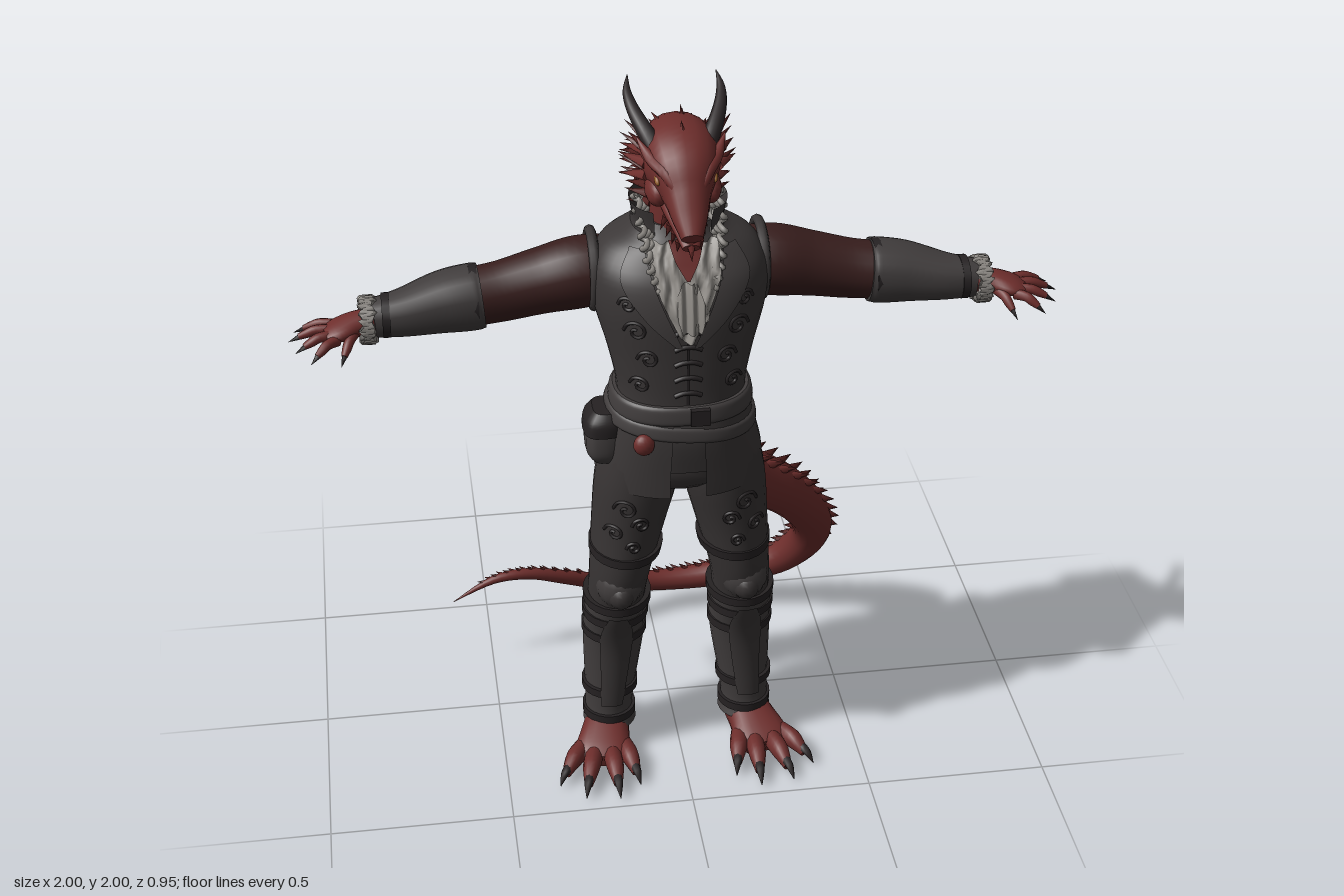
import * as THREE from 'three';
import { mergeGeometries } from 'three/addons/utils/BufferGeometryUtils.js';

const V = (x, y, z) => new THREE.Vector3(x, y, z);
const X = V(1, 0, 0), Y = V(0, 1, 0), Z = V(0, 0, 1);
const paint = (name, color, side = THREE.FrontSide) => Object.assign(new THREE.MeshStandardMaterial({ color, side }), { name });

// smooth interpolation through rows of numbers
function spline(rows) {
  return t => {
    const f = t * (rows.length - 1), i = Math.min(Math.floor(f), rows.length - 2), u = f - i;
    const r = k => rows[Math.min(Math.max(k, 0), rows.length - 1)];
    return rows[i].map((b, c) => {
      const a = r(i - 1)[c], d = r(i + 1)[c], e = r(i + 2)[c], m = (d - a) / 2, n = (e - b) / 2;
      return b + m * u + (3 * (d - b) - 2 * m - n) * u * u + (2 * (b - d) + m + n) * u * u * u;
    });
  };
}

// skin over sections [x, y, z, radius along ref, radius across]
function loft(rows, { ref = X, dir = null, n = 2, seg = 20, steps = 5, arc = null, cap = true } = {}) {
  const at = spline(rows), count = (rows.length - 1) * steps, pos = [], idx = [], T = V(0, 0, 0);
  const cols = arc ? seg + 1 : seg, [a0, a1] = arc || [0, Math.PI * 2];
  const pow = v => Math.sign(v) * Math.abs(v) ** (2 / n);
  for (let i = 0; i <= count; i++) {
    const t = i / count, p = at(t), c = V(p[0], p[1], p[2]);
    if (dir) T.copy(dir);
    else {
      const q = at(Math.min(1, t + .01)), o = at(Math.max(0, t - .01));
      T.set(q[0] - o[0], q[1] - o[1], q[2] - o[2]).normalize();
    }
    const U = ref.clone().addScaledVector(T, -ref.dot(T)).normalize(), W = T.clone().cross(U);
    for (let j = 0; j < cols; j++) {
      const a = a0 + (a1 - a0) * j / seg;
      pos.push(...c.clone().addScaledVector(U, pow(Math.cos(a)) * Math.max(p[3], .001))
        .addScaledVector(W, pow(Math.sin(a)) * Math.max(p[4], .001)).toArray());
    }
  }
  for (let i = 0; i < count; i++) for (let j = 0; j < seg; j++) {
    const a = i * cols + j, b = i * cols + (j + 1) % cols;
    idx.push(a, b, b + cols, a, b + cols, a + cols);
  }
  if (cap && !arc) for (const e of [0, count]) {
    const s = pos.length / 3, p = at(e / count);
    pos.push(...pos.slice(e * cols * 3, (e + 1) * cols * 3), p[0], p[1], p[2]);
    for (let j = 0; j < seg; j++) e ? idx.push(s + seg, s + j, s + (j + 1) % seg) : idx.push(s + seg, s + (j + 1) % seg, s + j);
  }
  return meshGeometry(pos, idx);
}
function meshGeometry(pos, idx) {
  const g = new THREE.BufferGeometry();
  g.setAttribute('position', new THREE.Float32BufferAttribute(pos, 3));
  g.setIndex(idx);
  g.computeVertexNormals();
  return g;
}
// front depth of an upright loft
const frontOf = (rows, n) => {
  const at = spline(rows);
  return (x, y) => {
    let lo = 0, hi = 1;
    for (let i = 0; i < 20; i++) { const m = (lo + hi) / 2; at(m)[1] < y ? lo = m : hi = m; }
    const p = at(lo), d = Math.min(.97, Math.abs(x - p[0]) / p[3]);
    return p[2] + p[4] * (1 - d ** n) ** (1 / n);
  };
};
// thin sheet lying on a surface, rows [y, x0, x1] from bottom to top
function plate(rows, surf, lift) {
  const at = spline(rows), nr = rows.length * 4, nc = 24, pos = [], idx = [];
  for (let i = 0; i <= nr; i++) {
    const [y, a, b] = at(i / nr), l = Math.min(a, b), r = Math.max(a, b);
    for (let j = 0; j <= nc; j++) { const x = l + (r - l) * j / nc; pos.push(x, y, surf(x, y) + lift(x, y)); }
  }
  for (let i = 0; i < nr; i++) for (let j = 0; j < nc; j++) {
    const a = i * (nc + 1) + j, b = a + nc + 1;
    idx.push(a, a + 1, b + 1, a, b + 1, b);
  }
  return meshGeometry(pos, idx);
}
function spike(a, b, r, flat = 1) {
  const d = b.clone().sub(a), g = new THREE.ConeGeometry(r, d.length(), 6);
  g.scale(1, 1, flat);
  g.applyQuaternion(new THREE.Quaternion().setFromUnitVectors(Y, d.clone().normalize()));
  return g.translate(...a.clone().add(b).multiplyScalar(.5).toArray());
}
const wire = (pts, r, steps = 40) => new THREE.TubeGeometry(new THREE.CatmullRomCurve3(pts), steps, r, 6);
const ball = (x, y, z, a, b, c) => new THREE.SphereGeometry(1, 16, 12).scale(a, b, c).translate(x, y, z);

export function createModel() {
  const group = new THREE.Group(), D = THREE.DoubleSide;
  const skin = paint('red scales', 0x6e2e2c), dark = paint('dark red scales', 0x54211f), vest = paint('charcoal cloth', 0x3b3737, D);
  const trouser = paint('trouser cloth', 0x383434), sleeve = paint('maroon cloth', 0x381e1d), trim = paint('black trim', 0x262223, D);
  const leather = paint('leather', 0x413d3d), lace = paint('lace', 0x8c8883, D), claw = paint('horn', 0x2a2425), amber = paint('amber', 0x94602c);
  const add = (name, geo, mat) => { const m = new THREE.Mesh(geo, mat); m.name = name; group.add(m); return m; };
  let seed = 7;
  const rnd = () => (seed = seed * 16807 % 2147483647) / 2147483647;

  // torso
  const body = [[0, 1.14, .23, .172, .145], [0, 1.22, .23, .17, .14], [0, 1.32, .22, .19, .15], [0, 1.45, .2, .225, .17],
    [0, 1.54, .19, .228, .16], [0, 1.6, .175, .195, .137], [0, 1.64, .17, .125, .115], [0, 1.67, .17, .1, .1]];
  const up = { dir: Y, n: 2.3, seg: 40 }, chest = frontOf(body, 2.3);
  add('vest', loft(body, up), vest);
  add('coatSkirt', loft([[0, .935, .185, .225, .205], [0, 1.0, .195, .22, .195], [0, 1.1, .22, .195, .17], [0, 1.19, .23, .176, .149]],
    { ...up, arc: [-Math.PI / 2 + .17, Math.PI * 1.5 - .17] }), vest);
  add('frontFlap', loft([[.01, 1.0, .19, .205, .18], [0, 1.1, .22, .19, .165], [0, 1.19, .23, .175, .147]],
    { ...up, seg: 10, arc: [-Math.PI / 2 - .3, -Math.PI / 2 + .3] }), leather);
  add('pelvis', ball(0, .99, .22, .19, .1, .14), trouser);
  const belt = loft([[0, 1.155, .229, .187, .158], [0, 1.165, .229, .19, .161], [0, 1.195, .229, .186, .157], [0, 1.205, .229, .178, .15]], up);
  add('belt', belt, leather);
  const sash = add('slantedBelt', belt.clone().translate(0, -1.18, -.229).scale(1.07, .8, 1.07), leather);
  sash.position.set(0, 1.125, .222); sash.rotation.z = -.1;
  add('buckle', new THREE.BoxGeometry(.05, .045, .015).translate(.03, 1.18, .39), trim);
  add('collar', loft([[0, 1.58, .165, .15, .13], [0, 1.65, .17, .118, .115], [0, 1.715, .18, .125, .115]],
    { ...up, arc: [-Math.PI / 2 + .6, Math.PI * 1.5 - .6] }), vest);
  for (let i = 0; i < 5; i++) {
    const y = 1.24 + i * .045;
    add('clasp', wire([-.035, -.015, .015, .035].map((x, k) => V(x, y + (k % 3 ? .004 : -.004), chest(x, y) + .004)), .006, 10), trim);
  }
  add('vestSeam', plate([[1.21, -.004, .004], [1.42, -.004, .004]], chest, () => .003), trim);

  // lace shirt front
  add('jabot', plate([[1.4, -.012, .012], [1.47, -.05, .05], [1.57, -.085, .085], [1.64, -.085, .085]], chest,
    (x, y) => .018 + .012 * Math.sin(x * 170 + Math.sin(y * 60) * 1.2)), lace);
  add('jabotLower', plate([[1.43, -.018, .03], [1.5, -.035, .04], [1.56, -.02, .02]], chest, (x, y) => .03 + .01 * Math.sin(x * 220)), lace);
  add('neck', loft([[0, 1.55, .2, .06, .09], [0, 1.66, .19, .078, .092], [0, 1.74, .19, .08, .09], [0, 1.82, .2, .08, .08]], { dir: Y }), skin);
  add('throat', plate([[1.565, -.004, .004], [1.61, -.03, .03], [1.66, -.045, .045]], chest, (x, y) => .034 + (y - 1.565) * .2), skin);

  // embroidery scroll drawn on a surface
  const curl = (cx, cy, r, s, surf) => add('embroidery', wire(Array.from({ length: 12 }, (_, i) => {
    const a = i * .75, q = r * (1 - i / 13), x = cx + s * q * Math.cos(a), y = cy + q * Math.sin(a);
    return V(x, y, surf(x, y) + .002);
  }), .0045, 30), trim);

  for (const s of [1, -1]) {
    const M = (x, y, z) => V(x * s, y, z), mx = rows => rows.map(r => [r[0] * s, ...r.slice(1)]);
    // vest details
    add('lapel', plate([[1.38, .015, .03], [1.46, .05, .11], [1.55, .085, .165], [1.62, .1, .135]].map(([y, a, b]) => [y, a * s, b * s]), chest, () => .009), leather);
    for (const [x, y, r] of [[.13, 1.42, .03], [.1, 1.34, .028], [.12, 1.26, .025], [.15, 1.49, .022]]) curl(x * s, y, r, s, chest);
    const hole = add('armholeEdge', new THREE.TorusGeometry(.098, .014, 8, 28), vest);
    hole.rotation.set(0, Math.PI / 2, 0); hole.position.set(.218 * s, 1.503, .145);
    for (let k = 0; k < 3; k++) add('collarRuffle', wire(Array.from({ length: 26 }, (_, i) => {
      const t = i / 25, w = Math.sin(i * 2.1 + k) * .01;
      return M(.108 - .04 * t * t - k * .012 + w, 1.725 - .2 * t - k * .008, .18 + .165 * Math.sin(t * 1.45) + .012 * Math.cos(i * 2.1 + k));
    }), .008, 80), lace);

    // arms
    add('sleeve', loft(mx([[.16, 1.5, .14, .09, .085], [.25, 1.495, .145, .095, .095], [.35, 1.475, .142, .088, .086], [.45, 1.457, .15, .078, .08], [.54, 1.45, .16, .078, .076]]), { ref: Z }), sleeve);
    add('bracer', loft(mx([[.505, 1.452, .157, .084, .08], [.53, 1.45, .158, .087, .083], [.6, 1.445, .165, .084, .077], [.7, 1.435, .188, .066, .06], [.785, 1.43, .2, .05, .048]]), { ref: Z, n: 2.3 }), leather);
    for (const [x, y, z, r] of [[.515, 1.451, .157, .088], [.74, 1.433, .194, .062]])
      add('bracerStrap', loft(mx([[x, y, z, r, r - .005], [x + .02, y, z, r, r - .005]]), { ref: Z }), trim);
    add('cuff', wire(Array.from({ length: 49 }, (_, i) => {
      const a = i / 48 * Math.PI * 2, w = i % 2 ? .018 : -.014;
      return M(.795 + w, 1.428 + .052 * Math.sin(a), .203 + .057 * Math.cos(a));
    }), .011, 144), lace);
    add('hand', loft(mx([[.77, 1.428, .2, .034, .032], [.83, 1.423, .213, .042, .031], [.875, 1.417, .23, .05, .024], [.905, 1.41, .237, .04, .015]]), { ref: Z }), skin);
    const fingers = [[.885, 1.415, .195, .972, 1.402, .178], [.895, 1.415, .222, .985, 1.4, .22], [.892, 1.413, .25, .97, 1.396, .272],
      [.88, 1.408, .272, .935, 1.388, .315], [.835, 1.41, .25, .865, 1.378, .315]];
    for (const [ax, ay, az, bx, by, bz] of fingers) {
      const q = (t, h) => [ax + (bx - ax) * t, ay + (by - ay) * t + h, az + (bz - az) * t];
      add('finger', loft(mx([[...q(-.1, 0), .015, .014], [...q(.35, .009), .013, .013], [...q(.6, .005), .012, .012], [...q(.85, 0), .008, .008]]), { ref: Y, seg: 10, steps: 3 }), skin);
      add('fingerClaw', spike(M(...q(.75, .001)), M(...q(1.17, -.01)), .009), claw);
    }

    // legs
    const leg = mx([[.195, .07, .175, .062, .065], [.195, .16, .175, .063, .065], [.18, .36, .17, .078, .08], [.175, .5, .2, .078, .095],
      [.165, .62, .22, .083, .115], [.14, .78, .22, .1, .122], [.118, .92, .225, .112, .13], [.11, 1.02, .225, .1, .13]]);
    const thigh = frontOf(leg, 2);
    add('trouserLeg', loft(leg, { dir: Y, seg: 24 }), trouser);
    const wrap = (rows, grow) => mx(rows).map(([x, y, z, a, b]) => [x, y, z, a + grow, b + grow]);
    add('boot', loft(wrap([[.195, .075, .18, .068, .072], [.195, .14, .175, .06, .062], [.18, .36, .17, .078, .08], [.176, .48, .195, .079, .092], [.172, .53, .205, .08, .098]], .007), { dir: Y, seg: 24 }), leather);
    for (const [x, y, z, a, b] of [[.195, .11, .176, .064, .068], [.192, .2, .175, .068, .07], [.178, .4, .177, .08, .084], [.176, .47, .193, .081, .093], [.172, .525, .205, .083, .1]])
      add('bootStrap', loft(wrap([[x, y - .012, z, a, b], [x, y + .012, z, a, b]], .011), { dir: Y, seg: 24 }), trim);
    add('kneeGuard', ball(.172 * s, .6, .268, .066, .075, .072), leather);
    add('kneeCap', ball(.172 * s, .585, .3, .04, .045, .05), trouser);
    add('shinGuard', plate([[.16, .165, .225], [.3, .145, .225], [.42, .135, .225], [.5, .155, .205]].map(([y, a, b]) => [y, a * s, b * s]), thigh, () => .018), vest);
    add('thighBand', loft(wrap([[.15, .69, .22, .092, .119], [.147, .715, .22, .094, .12]], .007), { dir: Y, seg: 24 }), trim);
    for (const [x, y, r] of [[.16, .88, .032], [.19, .8, .025], [.12, .83, .025], [.14, .755, .02]]) curl(x * s, y, r, s, thigh);

    // feet
    add('foot', loft(mx([[.19, .042, .05, .02, .025], [.19, .055, .09, .045, .05], [.195, .062, .16, .058, .06], [.212, .055, .23, .068, .05], [.228, .042, .3, .078, .036], [.236, .032, .335, .06, .024]]), { ref: X, n: 2.3 }), skin);
    for (const [ax, az, bx, bz] of [[.168, .28, .142, .4], [.205, .3, .2, .445], [.25, .3, .285, .435], [.28, .275, .345, .38]]) {
      const q = (t, y) => [ax + (bx - ax) * t, y, az + (bz - az) * t];
      add('toe', loft(mx([[...q(-.2, .04), .024, .025], [...q(.3, .045), .026, .028], [...q(.6, .042), .023, .027], [...q(.92, .026), .012, .016]]), { ref: X, seg: 12, steps: 3 }), skin);
      add('toeClaw', loft(mx([[...q(.75, .038), .014, .016], [...q(1, .036), .011, .012], [...q(1.22, .012), .001, .001]]), { ref: X, seg: 8, steps: 3 }), claw);
    }
    add('heelClaw', spike(M(.19, .035, .07), M(.19, .012, .03), .014), claw);

    // face and horns
    add('horn', loft(mx([[.05, 1.85, .26, .026, .026], [.082, 1.9, .215, .022, .022], [.108, 1.94, .16, .017, .017], [.118, 1.97, .11, .011, .011], [.112, 1.998, .068, .001, .001]]), { ref: X, seg: 12 }), claw);
    add('brow', loft(mx([[.02, 1.795, .375, .008, .008], [.05, 1.845, .335, .017, .014], [.082, 1.865, .28, .016, .013], [.11, 1.9, .23, .002, .002]]), { ref: X, seg: 10 }), skin);
    const eye = add('eye', ball(0, 0, 0, .008, .01, .018), amber);
    eye.position.set(.071 * s, 1.825, .318); eye.rotation.x = .5;
    add('cheek', ball(.066 * s, 1.775, .265, .03, .04, .06), skin);
    add('nostril', ball(.02 * s, 1.727, .416, .012, .01, .014), dark);
    const face = [];
    for (let i = 0; i < 6; i++) face.push(spike(M(.07, 1.88 - i * .033, .24 - (i % 2) * .03), M(.15 - Math.abs(i - 2) * .008, 1.925 - i * .047, .17 - (i % 2) * .03), .017, .6));
    for (let i = 0; i < 4; i++) face.push(spike(M(.045 - i * .006, 1.71 - i * .008, .29 + i * .03), M(.06 - i * .01, 1.67 - i * .006, .285 + i * .03), .01));
    add('faceSpikes', mergeGeometries(face), dark);
  }

  // head
  add('skull', loft([[0, 1.79, .1, .05, .06], [0, 1.825, .14, .085, .09], [0, 1.835, .21, .1, .098], [0, 1.825, .28, .09, .085], [0, 1.785, .34, .06, .058], [0, 1.745, .39, .043, .036], [0, 1.712, .427, .027, .024]], { ref: X, n: 2.2 }), skin);
  add('jaw', loft([[0, 1.755, .21, .065, .05], [0, 1.735, .29, .058, .034], [0, 1.7, .36, .036, .02], [0, 1.677, .408, .022, .013]], { ref: X }), skin);
  const crest = [spike(V(0, 1.69, .4), V(0, 1.648, .425), .013)];
  for (let i = 0; i < 5; i++) crest.push(spike(V(0, 1.765 + i * .034, .385 - i * .027), V(0, 1.805 + i * .034, .365 - i * .033), .014));
  add('crest', mergeGeometries(crest), skin);
  const mane = [[], []];
  for (let r = 0; r < 5; r++) for (let i = 0; i < 13; i++) {
    const a = -.75 + (Math.PI + 1.5) * (i + (r % 2) / 2) / 12.5, c = Math.cos(a), h = Math.sin(a), z = .25 - r * .034;
    const base = V(c * (.088 - r * .007), 1.825 + h * (.085 - r * .006), z), len = .1 + rnd() * .045;
    const way = V(c * .5 + (rnd() - .5) * .25, h * .28 - .2 - r * .1 + (rnd() - .5) * .2, -.85).normalize();
    const tip = base.clone().addScaledVector(way, len);
    tip.z = Math.max(tip.z, .03);
    mane[(i + r) % 3 ? 0 : 1].push(spike(base, tip, .019, .6));
  }
  for (let i = 0; i < 9; i++) mane[i % 2].push(spike(V((i - 4) * .02, 1.79, .11), V((i - 4) * .026, 1.625 + rnd() * .06, .04 + rnd() * .02), .02, .6));
  mane.forEach((m, i) => add('mane', mergeGeometries(m), i ? dark : skin));

  // pouches on the right hip
  add('pouch', loft([[-.2, 1.0, .24, .04, .055], [-.205, 1.03, .24, .05, .068], [-.205, 1.09, .24, .048, .065], [-.2, 1.14, .24, .035, .05]], { dir: Y, n: 3 }), leather);
  add('pouchFlap', loft([[-.208, 1.085, .24, .053, .071], [-.205, 1.12, .24, .05, .068], [-.2, 1.147, .24, .034, .05]], { dir: Y, n: 3 }), trim);
  add('charm', ball(-.115, 1.1, .375, .028, .03, .022), skin);

  // tail
  const tail = [[-.01, .95, .1, .085, .085], [.02, .89, .04, .088, .088], [.1, .8, -.01, .086, .086], [.23, .69, -.085, .08, .08], [.36, .58, -.15, .072, .072],
    [.45, .45, -.22, .064, .064], [.475, .32, -.295, .057, .057], [.41, .2, -.36, .05, .05], [.29, .135, -.4, .043, .043], [.15, .107, -.415, .037, .037],
    [0, .115, -.4, .031, .031], [-.14, .16, -.35, .026, .026], [-.27, .235, -.285, .021, .021], [-.38, .283, -.25, .017, .017], [-.49, .285, -.23, .012, .012], [-.61, .225, -.22, .001, .001]];
  const N = V(0, .53, -.85).normalize(), path = spline(tail), thorns = [[], []];
  add('tail', loft(tail, { ref: N, seg: 18 }), skin);
  for (let i = 3; i < 46; i++) for (let k = 0; k < 4; k++) {
    const t = (i + (k % 2) / 2) / 48, p = path(t), q = path(t + .01), c = V(p[0], p[1], p[2]);
    const T = V(q[0], q[1], q[2]).sub(c).normalize(), U = N.clone().addScaledVector(T, -N.dot(T)).normalize(), W = T.clone().cross(U);
    const a = [1.5, .7, -.1, -.9][k], out = U.multiplyScalar(Math.cos(a)).addScaledVector(W, Math.sin(a)), r = p[3];
    const tip = c.clone().addScaledVector(out, r * 1.3 + .004).addScaledVector(T, r * .45 + .008);
    thorns[k % 2].push(spike(c.addScaledVector(out, r * .8), tip, r * .2 + .003));
  }
  thorns.forEach((m, i) => add('tailSpikes', mergeGeometries(m), i ? dark : skin));
  return group;
}
